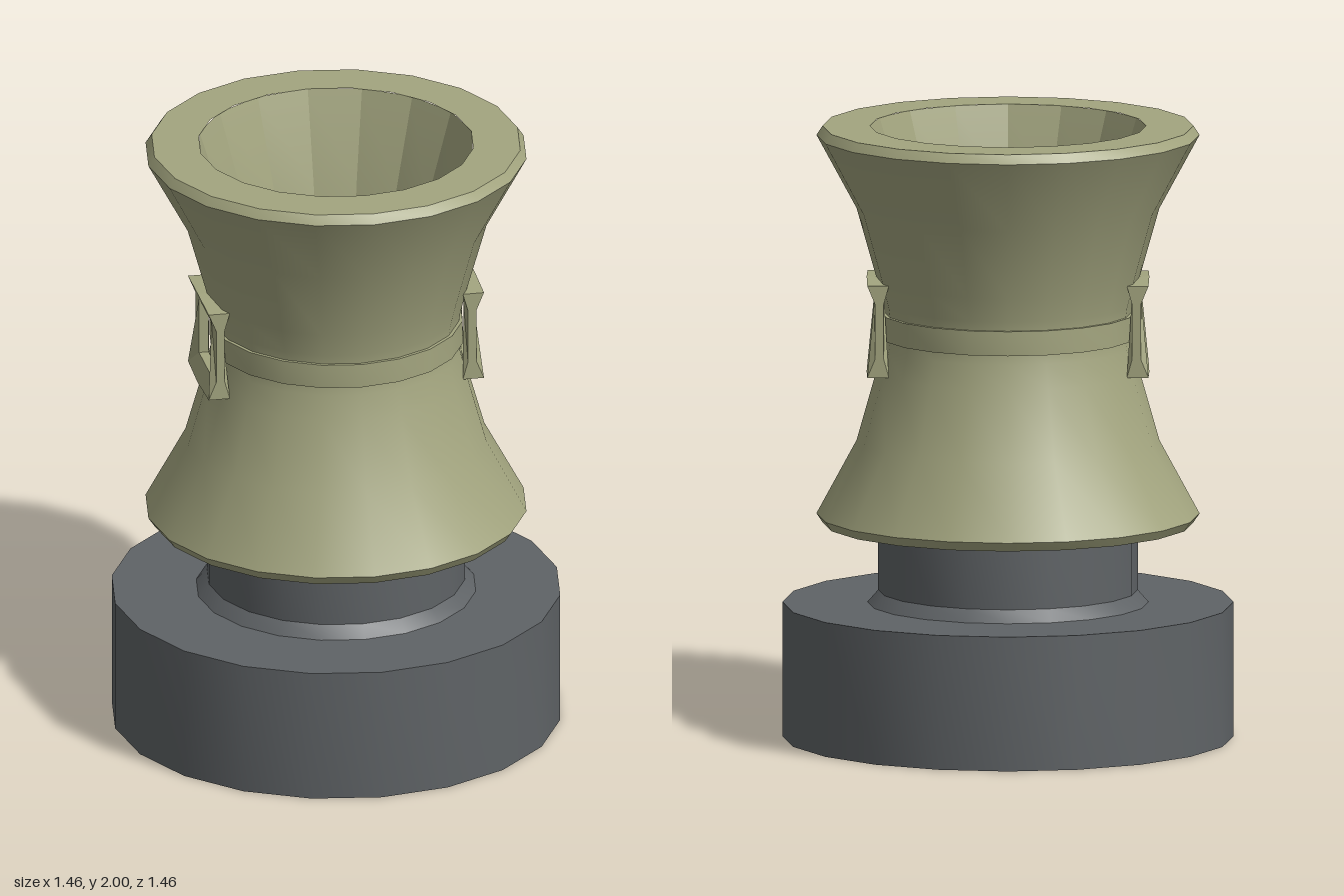
import * as THREE from 'three';
import { toCreasedNormals } from 'three/addons/utils/BufferGeometryUtils.js';

const MID = 1.35; // height of the waist

export function createModel() {
  const model = new THREE.Group();
  const olive = new THREE.MeshStandardMaterial({ color: 0xa3a57f });
  const grey = new THREE.MeshStandardMaterial({ color: 0x5f6366 });

  const add = (name, geometry, material) => {
    const mesh = new THREE.Mesh(geometry, material);
    mesh.name = name;
    model.add(mesh);
    return mesh;
  };
  const lathe = (points, sides, crease = 0.5) => toCreasedNormals(
    new THREE.LatheGeometry(points.map(([r, y]) => new THREE.Vector2(r, y)), sides), crease);

  // Heavy base disc
  add('base', lathe([[0, 0], [0.73, 0], [0.73, 0.44], [0, 0.44]], 20), grey);

  // Column with a flared foot, ending in a blunt cone inside the funnel
  add('column', lathe([[0.455, 0.44], [0.42, 0.48], [0.42, 0.72], [0.07, MID], [0, MID]], 20), grey);

  // Hourglass shell: the upper half profile is mirrored about the waist
  const upper = [[0.395, MID], [0.405, 1.42], [0.425, 1.5], [0.49, 1.73], [0.62, 1.97], [0.6, 2], [0.447, 2]];
  const mirrored = (half) => half.slice(1).reverse().map(([r, y]) => [r, 2 * MID - y]);
  add('outerShell', lathe([...mirrored(upper), ...upper], 20), olive);

  // Faceted funnel lining
  const lining = [[0.3, MID], [0.355, 1.7], [0.45, 2]];
  add('innerFunnel', lathe([...mirrored(lining), ...lining].reverse(), 16, 0.3), olive);

  // Strap around the waist
  add('strap', lathe([[0.38, 1.31], [0.412, 1.31], [0.412, 1.39], [0.38, 1.39]], 20), olive);

  // Square buckles whose top and bottom edges flare in thickness
  const frame = new THREE.Shape([
    [-0.165, -0.15], [0, -0.156], [0.165, -0.15], [0.165, -0.09], [0.165, 0.09],
    [0.165, 0.15], [0, 0.156], [-0.165, 0.15], [-0.165, 0.09], [-0.165, -0.09],
  ].map(([x, y]) => new THREE.Vector2(x, y)));
  frame.holes.push(new THREE.Path([
    [-0.1, -0.095], [-0.1, 0.095], [0.1, 0.095], [0.1, -0.095],
  ].map(([x, y]) => new THREE.Vector2(x, y))));
  const buckle = new THREE.ExtrudeGeometry(frame, { depth: 1, bevelEnabled: false });
  const pos = buckle.attributes.position;
  for (let i = 0; i < pos.count; i++) {
    const flare = Math.max(0, Math.abs(pos.getY(i)) - 0.09) / 0.06;
    const outer = pos.getZ(i) > 0.5;
    pos.setZ(i, outer ? 0.43 + 0.025 * flare : 0.402 - 0.017 * flare);
  }
  buckle.computeVertexNormals();
  for (const [name, side] of [['leftBuckle', 1], ['rightBuckle', -1]]) {
    const mesh = add(name, buckle, olive);
    mesh.position.y = MID;
    mesh.rotation.y = side * Math.PI / 2;
  }

  return model;
}
